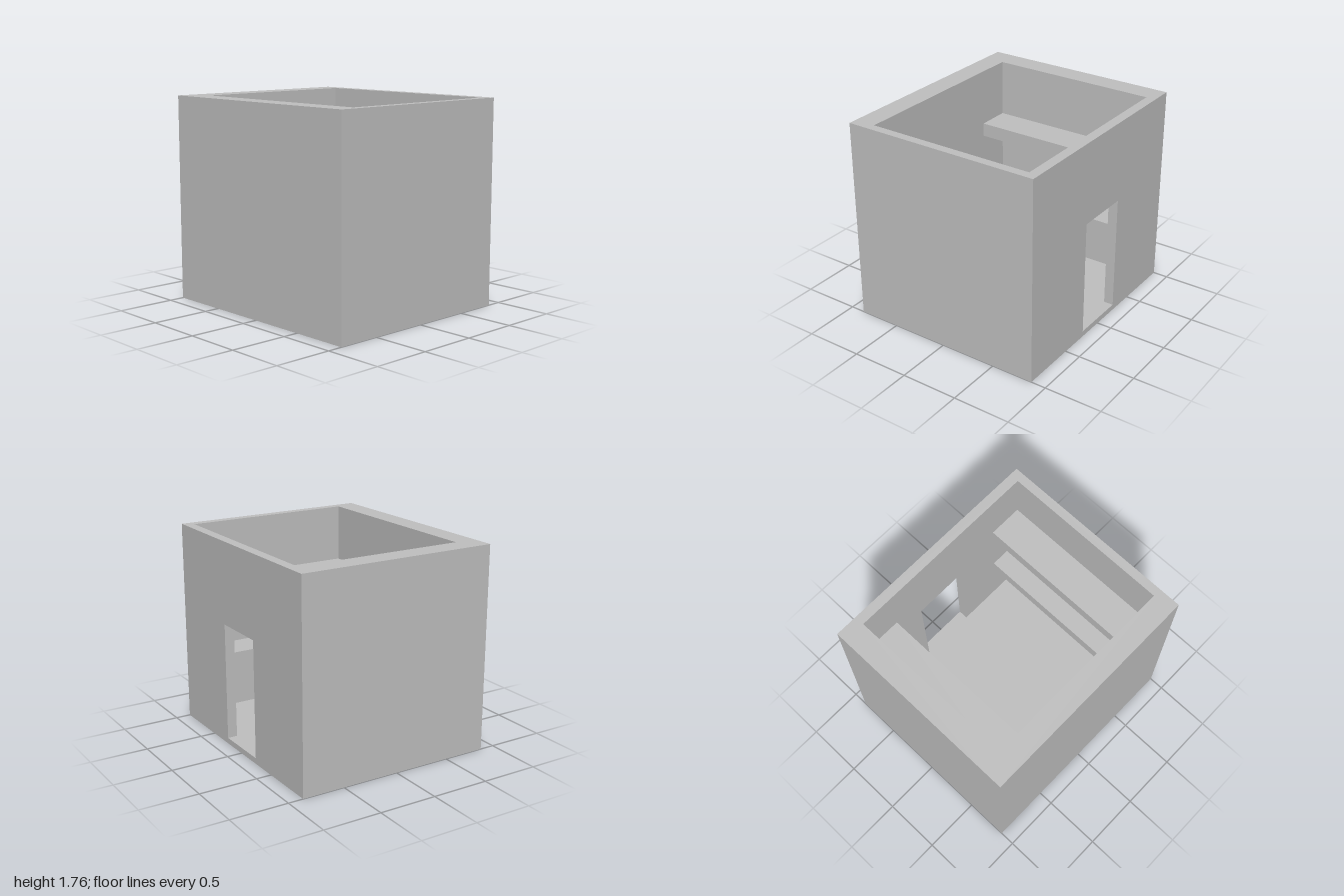
import * as THREE from 'three';

export function createModel() {
  const group = new THREE.Group();
  const plaster = new THREE.MeshStandardMaterial({ color: 0xc0c0c0 });
  plaster.name = 'light grey plaster';

  const H = 1.765, D = 0.87;                                  // outer height, half depth
  const inner = { x0: -0.805, x1: 0.925, z0: -0.785, z1: 0.68 }; // room footprint
  const floorY = 0.05;

  function add(name, geometry) {
    const mesh = new THREE.Mesh(geometry, plaster);
    mesh.name = name;
    group.add(mesh);
  }

  // Box given by its limits on each axis
  function block(name, x0, x1, y0, y1, z0, z1) {
    const g = new THREE.BoxGeometry(x1 - x0, y1 - y0, z1 - z0);
    g.translate((x0 + x1) / 2, (y0 + y1) / 2, (z0 + z1) / 2);
    add(name, g);
  }

  function rectangle(path, x0, x1, y0, y1) {
    path.moveTo(x0, y0);
    path.lineTo(x1, y0);
    path.lineTo(x1, y1);
    path.lineTo(x0, y1);
    path.closePath();
    return path;
  }

  // Floor and the three plain walls
  block('floor', inner.x0, inner.x1, 0, floorY, inner.z0, inner.z1);
  block('frontWall', -1, 1, 0, H, inner.z1, D);
  block('rightWall', -1, inner.x0, 0, H, inner.z0, inner.z1);
  block('leftWall', inner.x1, 1, 0, H, inner.z0, inner.z1);

  // Back wall with the doorway
  const back = rectangle(new THREE.Shape(), -1, 1, 0, H);
  back.holes.push(rectangle(new THREE.Path(), -0.25, 0.24, floorY, 1.06));
  const backWall = new THREE.ExtrudeGeometry(back, { depth: inner.z0 + D, bevelEnabled: false });
  backWall.translate(0, 0, -D);
  add('backWall', backWall);

  // Two tiers of bunks along both side walls
  for (const [tier, y] of [['lower', 0.535], ['upper', 1.15]]) {
    block(tier + 'RightBunk', inner.x0, -0.51, y, y + 0.12, inner.z0, inner.z1);
    block(tier + 'LeftBunk', 0.625, inner.x1, y, y + 0.12, inner.z0, inner.z1);
  }

  return group;
}
